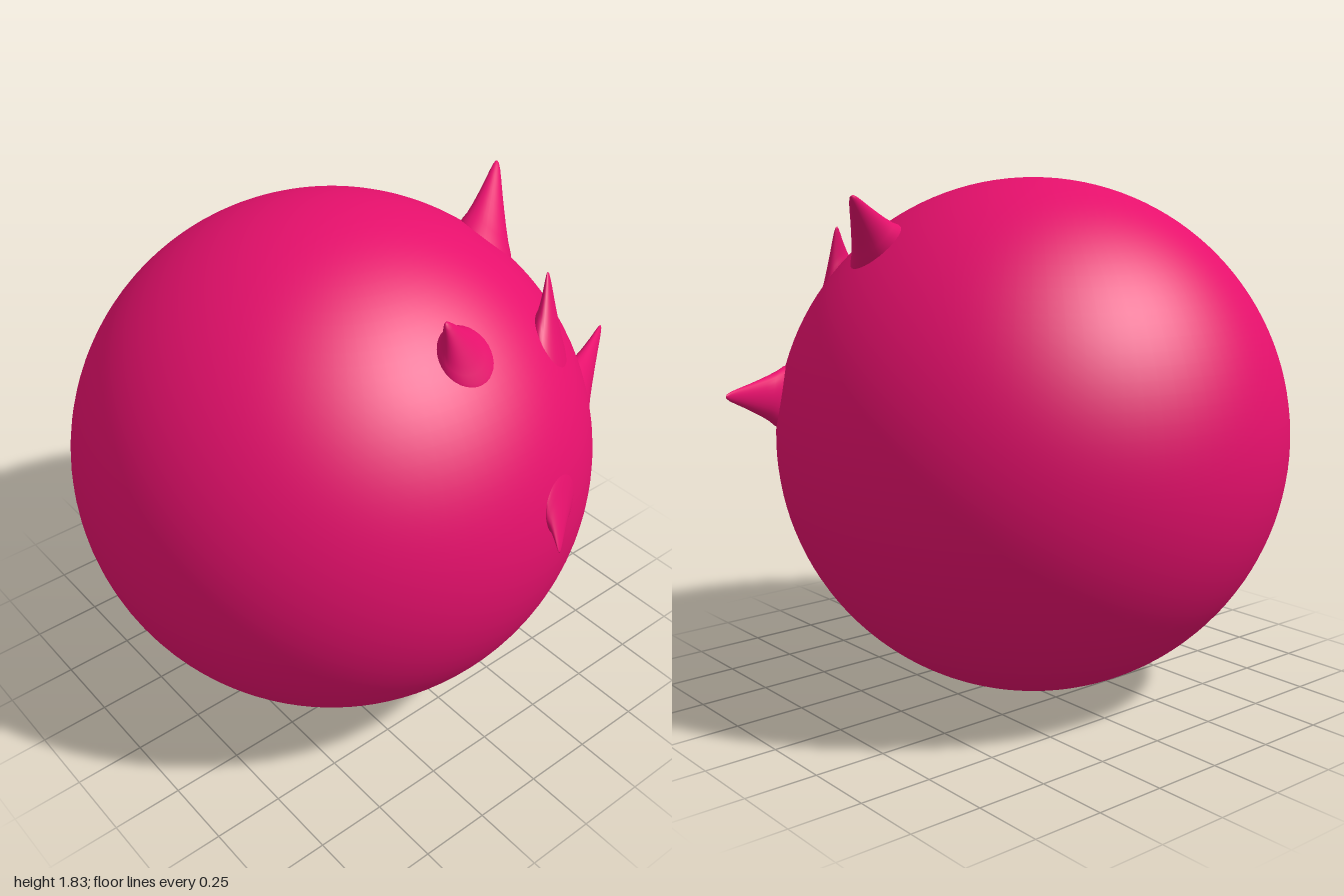
import * as THREE from 'three';

const material = new THREE.MeshStandardMaterial({ color: 0xe6106c });
const RADIUS = 0.915;
const CENTER = new THREE.Vector3(-0.085, RADIUS, -0.02);

// Unit spike: flared foot, slightly hollow flank, softly rounded tip
const PROFILE = [
  [1.08, -0.12], [1.0, 0], [0.84, 0.12], [0.68, 0.28], [0.53, 0.45],
  [0.38, 0.63], [0.25, 0.8], [0.15, 0.92], [0.07, 0.985], [0, 1],
].map(([r, y]) => new THREE.Vector2(r, y));

// A spike whose round foot lies on the ball and whose body leans to the tip
function makeSpike(foot, tip, radius) {
  const normal = new THREE.Vector3(...foot).sub(CENTER).normalize();
  const base = normal.clone().multiplyScalar(RADIUS).add(CENTER);
  const axis = new THREE.Vector3(...tip).sub(base);
  const u = new THREE.Vector3(0, 1, 0).cross(normal).normalize();
  const v = u.clone().cross(normal);
  const shear = new THREE.Matrix4()
    .makeBasis(u.multiplyScalar(radius), axis, v.multiplyScalar(radius))
    .setPosition(base);
  const geometry = new THREE.LatheGeometry(PROFILE, 32).applyMatrix4(shear);
  return new THREE.Mesh(geometry, material);
}

export function createModel() {
  const group = new THREE.Group();
  group.name = 'spikedBall';

  // Smooth round body
  const body = new THREE.Mesh(new THREE.SphereGeometry(RADIUS, 96, 64), material);
  body.name = 'body';
  body.position.copy(CENTER);
  group.add(body);

  // Spikes: foot position, tip position, foot radius
  const spikes = {
    upperLeftSpike: [[0.5, 1.6, 0.1], [0.705, 1.77, -0.067], 0.105],
    sideSpike: [[0.695, 1.08, 0.43], [0.995, 1.13, 0.25], 0.105],
    middleSpike: [[0.375, 1.47, 0.55], [0.415, 1.655, 0.475], 0.09],
    topSpike: [[-0.06, 1.6, 0.6], [-0.135, 1.728, 0.59], 0.095],
    frontSpike: [[0.15, 1.06, 0.853], [0.08, 0.965, 0.93], 0.085],
  };
  for (const [name, [foot, tip, radius]] of Object.entries(spikes)) {
    const spike = makeSpike(foot, tip, radius);
    spike.name = name;
    group.add(spike);
  }
  return group;
}
